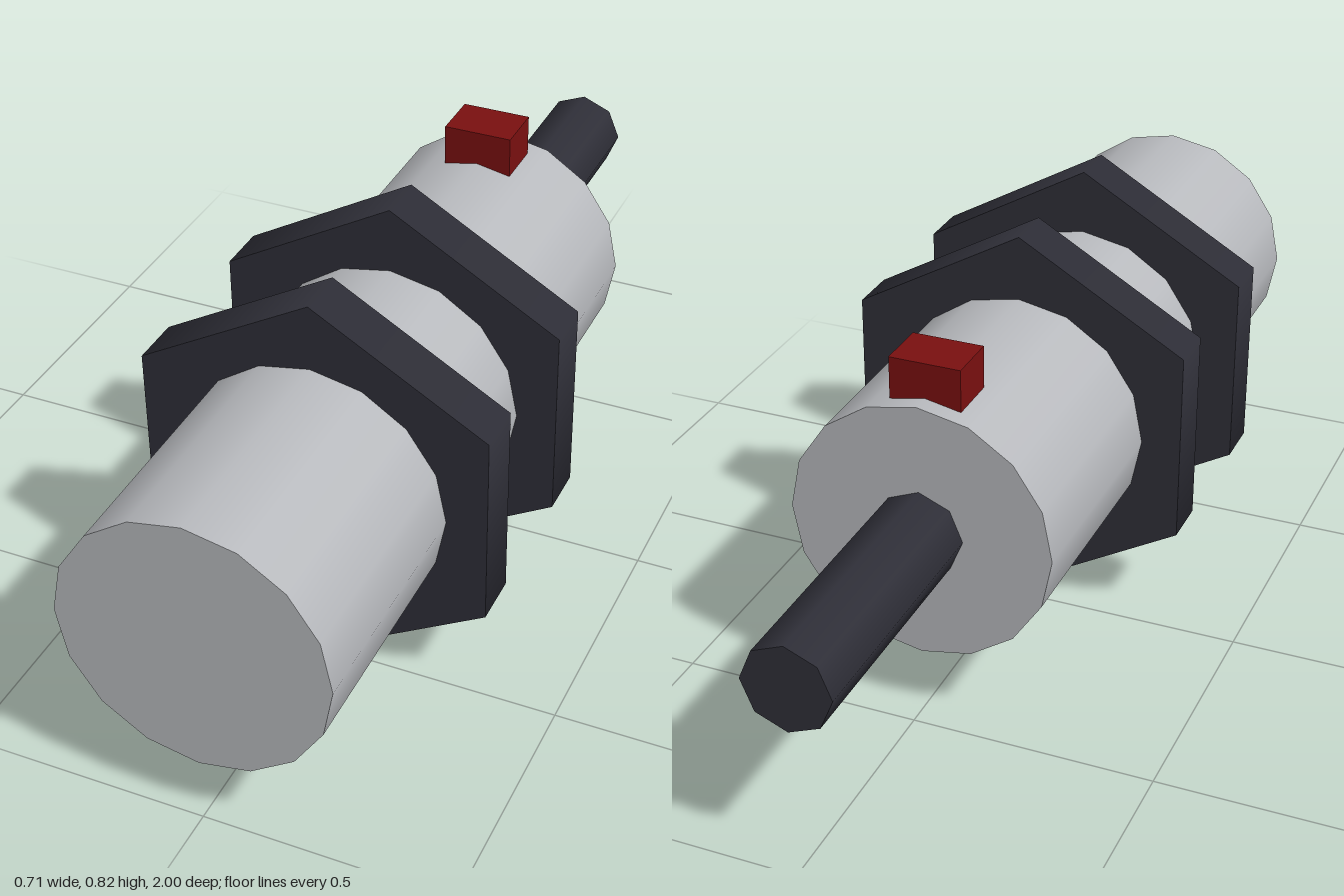
import * as THREE from 'three';

const AXIS_Y = 0.41;

export function createModel() {
  const model = new THREE.Group();
  model.name = 'proximitySensor';

  const material = (name, color) => {
    const m = new THREE.MeshStandardMaterial({ color });
    m.name = name;
    return m;
  };
  const steel = material('steel grey', 0xb8babe);
  const dark = material('dark plastic', 0x2f2f38);
  const red = material('indicator red', 0x7a1010);
  const orange = material('sensing orange', 0xe8762d);

  const add = (name, geometry, mat) => {
    const mesh = new THREE.Mesh(geometry, mat);
    mesh.name = name;
    model.add(mesh);
    return mesh;
  };

  // Cylinder or prism lying along z between two depths
  const rod = (name, radius, sides, zBack, zFront, mat) => {
    const geometry = new THREE.CylinderGeometry(radius, radius, zFront - zBack, sides);
    geometry.rotateX(Math.PI / 2);
    geometry.translate(0, AXIS_Y, (zBack + zFront) / 2);
    return add(name, geometry, mat);
  };

  // Barrel with the sensing insert sitting just inside its front face
  rod('barrel', 0.272, 16, -0.455, 1, steel);
  rod('sensingInsert', 0.262, 16, 0.95, 0.999, orange);

  // Two hexagonal mounting nuts
  rod('frontNut', 0.409, 6, 0.4, 0.506, dark);
  rod('rearNut', 0.409, 6, 0.038, 0.144, dark);

  // Cable leaving the rear
  rod('cable', 0.09, 8, -1, -0.45, dark);

  // Status indicator on top, sunk slightly into the barrel
  const indicator = add('indicator', new THREE.BoxGeometry(0.146, 0.1, 0.108), red);
  indicator.position.set(0, 0.705, -0.363);

  return model;
}
